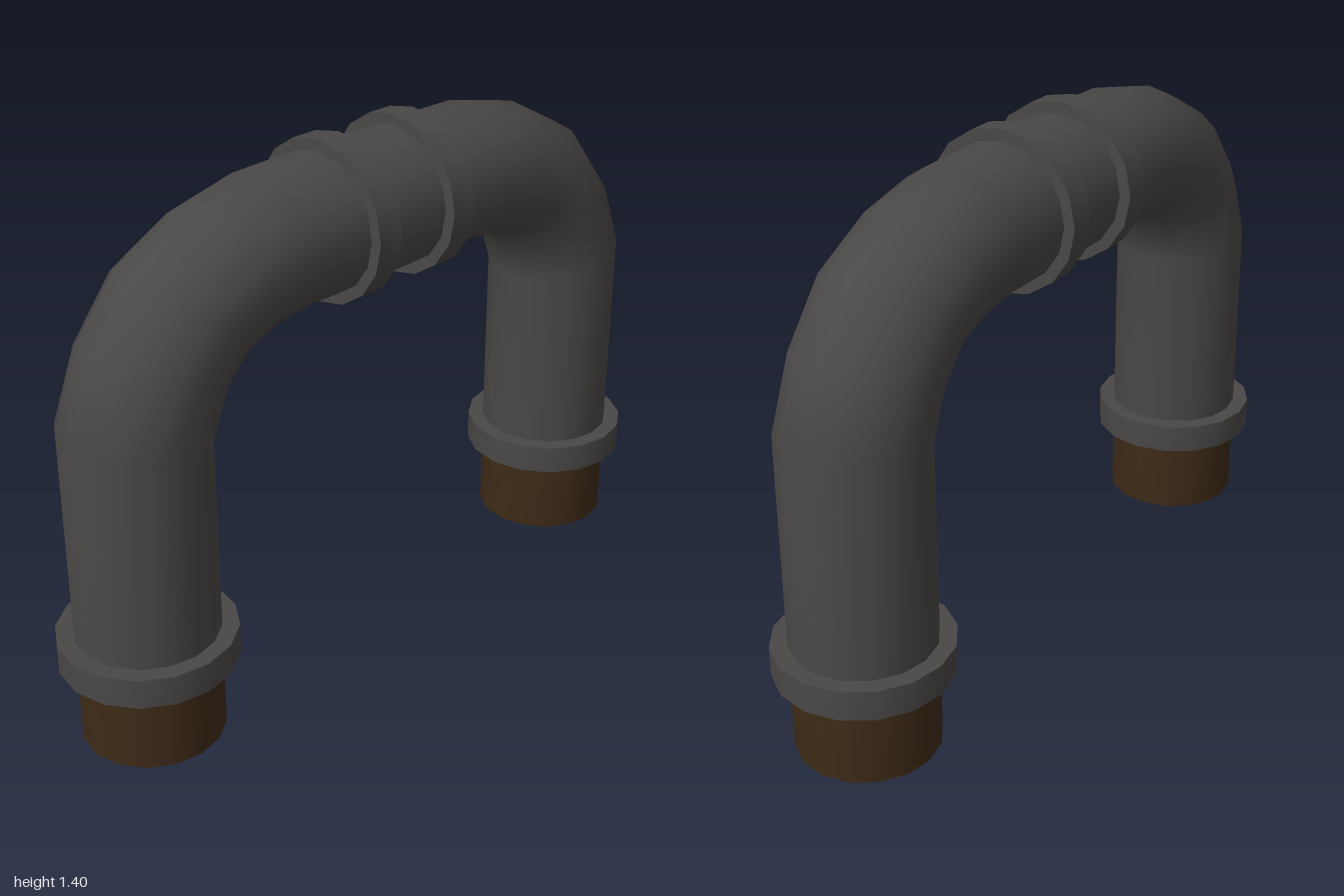
import * as THREE from 'three';
import { toCreasedNormals } from 'three/addons/utils/BufferGeometryUtils.js';

const SIDES = 16, R = 0.184, LEG_X = 0.772, TOP_Y = 1.188;

// Smooth tube through 16-sided sections, each given by its outer and inner point [ox, oy, ix, iy]
function loft(sections) {
  const pos = [], index = [];
  sections.forEach(([ox, oy, ix, iy], i) => {
    for (let j = 0; j < SIDES; j++) {
      const a = (j / SIDES) * Math.PI * 2, c = Math.cos(a) / 2;
      pos.push((ox + ix) / 2 + (ox - ix) * c, (oy + iy) / 2 + (oy - iy) * c, R * Math.sin(a));
      if (i === 0) continue;
      const b = i * SIDES + j, n = i * SIDES + (j + 1) % SIDES;
      index.push(b - SIDES, b, n - SIDES, b, n, n - SIDES);
    }
  });
  const g = new THREE.BufferGeometry();
  g.setAttribute('position', new THREE.Float32BufferAttribute(pos, 3));
  g.setIndex(index);
  g.computeVertexNormals();
  return g;
}

export function createModel() {
  const group = new THREE.Group();
  const iron = new THREE.MeshStandardMaterial({ color: 0x4a4846 });
  const rust = new THREE.MeshStandardMaterial({ color: 0x3d2a17 });
  const add = (name, geometry, material) => {
    const mesh = new THREE.Mesh(geometry, material);
    mesh.name = name;
    group.add(mesh);
    return mesh;
  };
  const drum = (r, h) => toCreasedNormals(new THREE.CylinderGeometry(r, r, h, SIDES), 0.7);

  // Arched pipe: one leg and elbow, then the same mirrored
  const half = [
    [LEG_X + R, 0.255, LEG_X - R, 0.255],
    [LEG_X + R, 0.87, LEG_X - R, 0.805],
    [0.88, 1.06, 0.54, 0.92],
    [0.75, 1.225, 0.48, 0.972],
    [0.56, 1.327, 0.4, 0.996],
    [0.385, 1.367, 0.31, 1.006],
    [0.13, TOP_Y + R, 0.13, TOP_Y - R],
  ];
  const mirrored = half.map(([ox, oy, ix, iy]) => [-ox, oy, -ix, iy]).reverse();
  add('archedPipe', loft([...half, ...mirrored]), iron);

  for (const [side, s] of [['left', 1], ['right', -1]]) {
    // Rusted foot below the collar
    add(side + 'Foot', drum(R, 0.255), rust).position.set(s * LEG_X, 0.1275, 0);
    // Collar around the leg
    add(side + 'Collar', drum(0.228, 0.08), iron).position.set(s * LEG_X, 0.255, 0);
    // Coupling ring on the horizontal run
    const ring = add(side + 'CouplingRing', drum(0.214, 0.075), iron);
    ring.rotation.z = Math.PI / 2;
    ring.position.set(s * 0.132, TOP_Y, 0);
  }
  return group;
}
